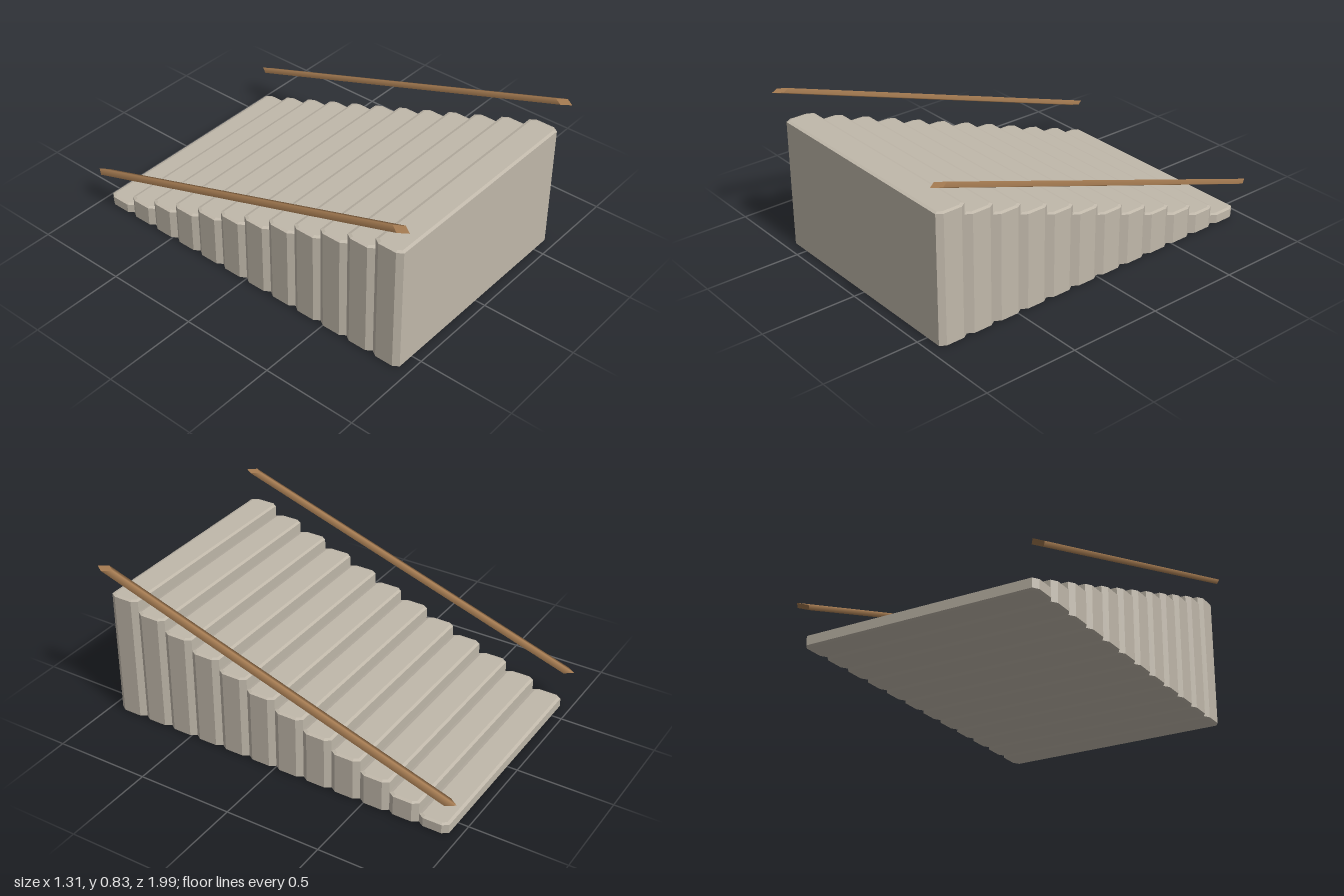
import * as THREE from 'three';

const STEPS = 12;
const DEPTH = 0.158;
const RISE = 0.0568;

// Stone block: long plan with chamfered corners, slightly bevelled top and bottom
function stepGeometry(height) {
  const w = 0.613, d = DEPTH / 2, cx = 0.02, cz = 0.03, bevel = 0.005, inset = 0.015;
  const plan = new THREE.Shape([
    [w - cx, -d], [w, -d + cz], [w, d - cz], [w - cx, d],
    [-w + cx, d], [-w, d - cz], [-w, -d + cz], [-w + cx, -d],
  ].map(([x, y]) => new THREE.Vector2(x, y)));
  const geometry = new THREE.ExtrudeGeometry(plan, {
    depth: height - 2 * bevel,
    bevelEnabled: true,
    bevelThickness: bevel,
    bevelSize: inset,
    bevelOffset: -inset,
    bevelSegments: 1,
  });
  return geometry.rotateX(-Math.PI / 2).translate(0, bevel, 0);
}

// Handrail: horizontal diamond section sheared along the slope, softly shaded
function railGeometry() {
  const yLow = 0.207, yHigh = 0.832, run = 1.9;
  const height = yHigh - yLow;
  const geometry = new THREE.CylinderGeometry(1, 1, height, 4);
  geometry.scale(0.032, 1, 0.046);
  const shear = new THREE.Matrix4().set(
    1, 0, 0, 0,
    0, 1, 0, (yLow + yHigh) / 2,
    0, run / height, 1, 0,
    0, 0, 0, 1,
  );
  return geometry.applyMatrix4(shear);
}

export function createModel() {
  const stone = new THREE.MeshStandardMaterial({ color: 0xc0b8aa });
  stone.name = 'stone';
  const wood = new THREE.MeshStandardMaterial({ color: 0xa67c52 });
  wood.name = 'wood';

  const model = new THREE.Group();
  model.name = 'staircase';

  // Steps climb from the back towards the front, all standing on the ground
  const steps = new THREE.Group();
  steps.name = 'steps';
  for (let i = 0; i < STEPS; i++) {
    const step = new THREE.Mesh(stepGeometry(RISE * (i + 1)), stone);
    step.name = `step${i + 1}`;
    step.position.z = (i - (STEPS - 1) / 2) * DEPTH;
    steps.add(step);
  }
  model.add(steps);

  // One floating handrail on each side
  const rail = railGeometry();
  for (const side of [-1, 1]) {
    const mesh = new THREE.Mesh(rail, wood);
    mesh.name = side > 0 ? 'leftHandrail' : 'rightHandrail';
    mesh.position.x = side * 0.625;
    model.add(mesh);
  }

  return model;
}
